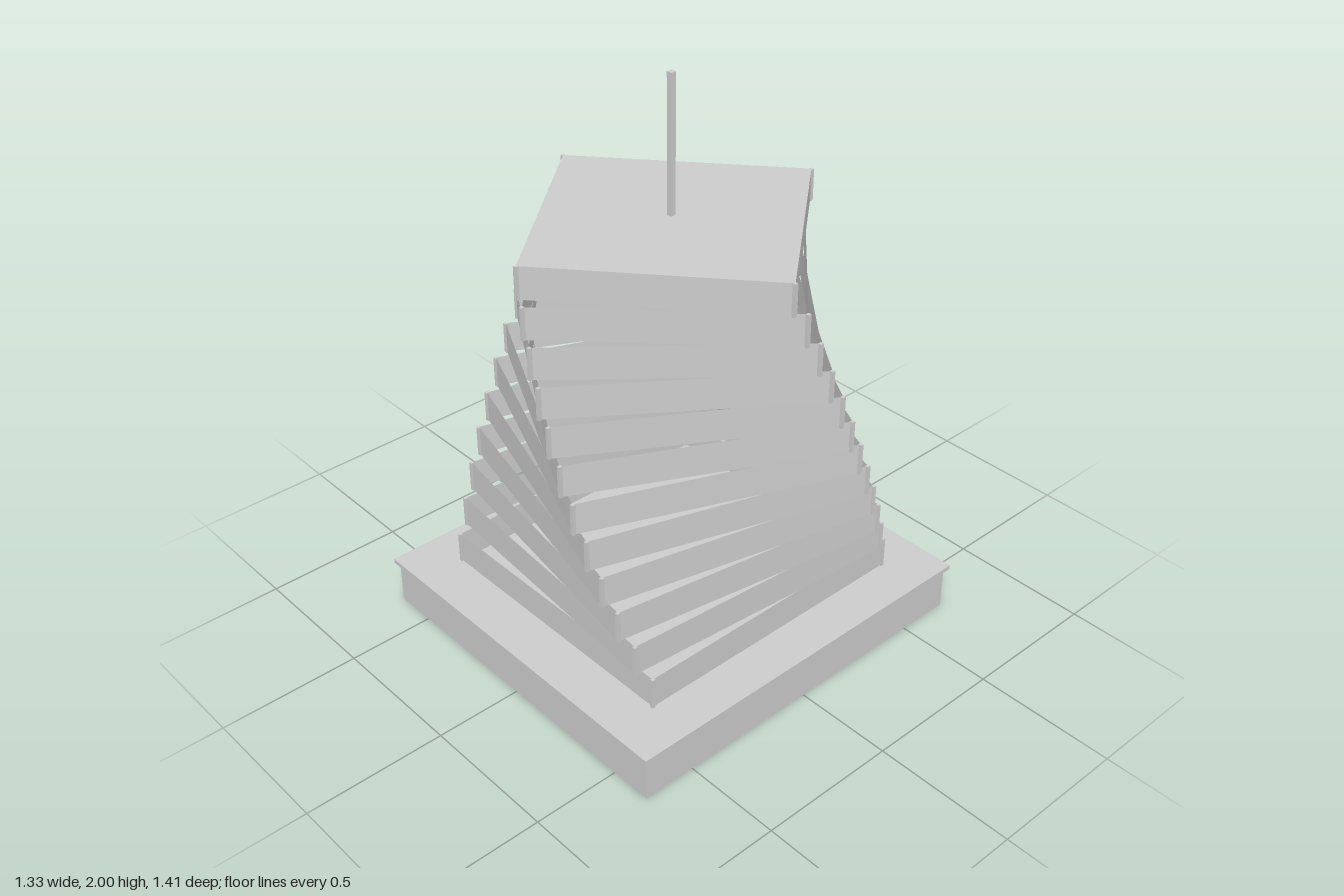
import * as THREE from 'three';

const concrete = new THREE.MeshStandardMaterial({ color: 0xcccccc, side: THREE.DoubleSide });
concrete.name = 'light grey';

const FLOORS = 12;
const FLOOR_HEIGHT = 0.1128;
const TOWER_BASE = 0.175;
const TWIST = THREE.MathUtils.degToRad(-4.5);

function addMesh(parent, name, geometry, x = 0, y = 0, z = 0) {
  const mesh = new THREE.Mesh(geometry, concrete);
  mesh.name = name;
  mesh.position.set(x, y, z);
  parent.add(mesh);
  return mesh;
}

// Four upright walls without top or bottom, standing on y = 0
function wallRing(width, height, depth) {
  const ring = new THREE.CylinderGeometry(Math.SQRT1_2, Math.SQRT1_2, 1, 4, 1, true)
    .rotateY(Math.PI / 4)
    .translate(0, 0.5, 0)
    .scale(width, height, depth)
    .toNonIndexed();
  ring.computeVertexNormals();
  return ring;
}

export function createModel() {
  const model = new THREE.Group();
  model.name = 'twistedTower';

  // Hollow plinth, open underneath, with an overhanging slab
  addMesh(model, 'plinthWalls', wallRing(1.298, 0.16, 1.384));
  addMesh(model, 'plinthSlab', new THREE.BoxGeometry(1.328, 0.016, 1.412), 0, 0.167, 0);

  // Open storeys, each turned and made a little smaller than the one below
  for (let i = 0; i < FLOORS; i++) {
    const taper = 1 - (0.23 * i) / (FLOORS - 1);
    const halfX = 0.5 * taper;
    const halfZ = 0.531 * taper;
    const angle = i * TWIST;
    const storey = new THREE.Group();
    storey.name = `storey${i + 1}`;
    storey.position.y = TOWER_BASE + i * FLOOR_HEIGHT;
    model.add(storey);

    const walls = addMesh(storey, 'walls', wallRing(2 * halfX, FLOOR_HEIGHT, 2 * halfZ));
    walls.rotation.y = angle;

    // Slim posts on the corners stay square to the plinth
    for (const sx of [-1, 1]) {
      for (const sz of [-1, 1]) {
        const corner = new THREE.Vector3(sx * halfX, FLOOR_HEIGHT / 2, sz * halfZ)
          .applyAxisAngle(THREE.Object3D.DEFAULT_UP, angle);
        addMesh(storey, 'cornerPost', new THREE.BoxGeometry(0.012, FLOOR_HEIGHT, 0.012), ...corner.toArray());
      }
    }

    // Only the last storey is roofed
    if (i === FLOORS - 1) {
      const roof = new THREE.PlaneGeometry(2 * halfX, 2 * halfZ).rotateX(-Math.PI / 2);
      addMesh(storey, 'roof', roof, 0, FLOOR_HEIGHT, 0).rotation.y = angle;
    }
  }

  // Mast
  const roofY = TOWER_BASE + FLOORS * FLOOR_HEIGHT;
  addMesh(model, 'mast', new THREE.BoxGeometry(0.019, 2 - roofY, 0.019), 0, (2 + roofY) / 2, 0);

  return model;
}
